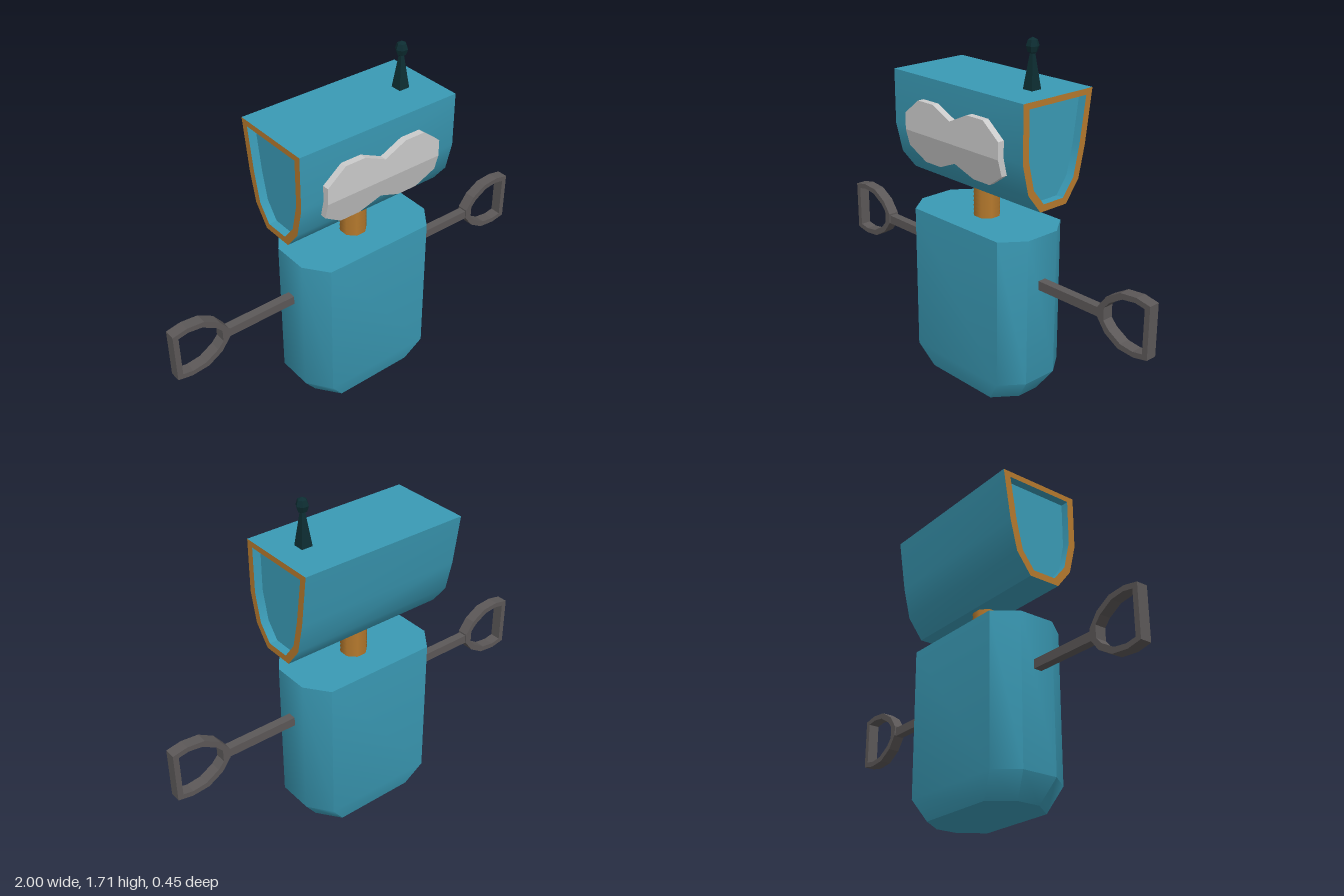
import * as THREE from 'three';
import { toCreasedNormals } from 'three/addons/utils/BufferGeometryUtils.js';

const mat = (color) => new THREE.MeshStandardMaterial({ color });
const CREASE = 0.71;

const outline = (points) => points.map(([x, y]) => new THREE.Vector2(x, y));

const extrude = (points, depth, hole, steps = 1) => {
  const shape = new THREE.Shape(outline(points));
  if (hole) shape.holes.push(new THREE.Path(outline(hole)));
  return new THREE.ExtrudeGeometry(shape, { depth, steps, bevelEnabled: false });
};

// Closes a half outline by mirroring it in x
const mirrorX = (half) => [
  ...half,
  ...half.filter(([x]) => x !== 0).reverse().map(([x, y]) => [-x, y]),
];

export function createModel() {
  const model = new THREE.Group();
  const teal = mat(0x3a9ab5);
  const brown = mat(0xb5792d);
  const darkGrey = mat(0x5c5858);
  const darkTeal = mat(0x0d2d32);
  const grey = mat(0xcccccc);

  const add = (name, geometry, material, parent = model) => {
    const mesh = new THREE.Mesh(geometry, material);
    mesh.name = name;
    parent.add(mesh);
    return mesh;
  };

  // Body: prism with faceted round sides, tapering in at the foot
  const plan = mirrorX([[0.283, -0.2], [0.365, -0.09], [0.365, 0.09], [0.283, 0.2]]);
  const body = extrude(plan, 0.83, null, 2);
  const p = body.attributes.position;
  for (let i = 0; i < p.count; i++) {
    const x = p.getX(i), y = p.getY(i), z = p.getZ(i);
    if (z < 0.01) p.setXY(i, x - Math.sign(x) * 0.077, y - Math.sign(y) * 0.032);
    else if (z < 0.6) p.setZ(i, 0.11);
  }
  body.rotateX(-Math.PI / 2);
  add('body', toCreasedNormals(body, CREASE), teal);

  // Neck: ribbed octagonal column
  const ribs = [];
  for (let i = 0; i <= 16; i++) {
    ribs.push(new THREE.Vector2(i % 2 ? 0.063 : 0.066, 0.82 + (i / 16) * 0.17));
  }
  const neck = new THREE.LatheGeometry(ribs, 8);
  neck.rotateY(Math.PI / 8);
  add('neck', neck, brown);

  // Head: shell with brown end rims and recessed side plates (outlines are -z, y)
  const head = new THREE.Group();
  head.name = 'head';
  model.add(head);
  const outer = [[-0.19, 1.48], [-0.19, 1.22], [-0.155, 1.075], [-0.08, 0.98],
    [0.08, 0.98], [0.155, 1.08], [0.19, 1.23], [0.226, 1.48]];
  const inner = [[-0.155, 1.452], [-0.155, 1.23], [-0.122, 1.09], [-0.06, 1.013],
    [0.06, 1.013], [0.122, 1.095], [0.155, 1.237], [0.188, 1.452]];
  const alongX = (geometry, depth) =>
    toCreasedNormals(geometry.translate(0, 0, -depth / 2).rotateY(Math.PI / 2), CREASE);
  add('headShell', alongX(extrude(outer, 0.85, inner), 0.85), [brown, teal], head);
  add('headSidePlates', alongX(extrude(inner, 0.77), 0.77), teal, head);

  // Goggles: flat upper half, lower half sloping back with the face
  const bend = 1.22;
  const upper = mirrorX([[0, bend], [0.31, bend], [0.31, 1.3], [0.215, 1.375], [0.112, 1.375], [0, 1.323]]);
  const lower = mirrorX([[0, 1.122], [0.112, 1.075], [0.215, 1.075], [0.31, 1.14], [0.31, bend], [0, bend]]);
  const goggles = new THREE.Group();
  goggles.name = 'goggles';
  head.add(goggles);
  [['gogglesUpper', upper, 0], ['gogglesLower', lower, 0.27]].forEach(([name, points, slope]) => {
    const g = extrude(points, 0.044);
    const q = g.attributes.position;
    for (let i = 0; i < q.count; i++) {
      q.setZ(i, q.getZ(i) + 0.179 - slope * (bend - q.getY(i)));
    }
    add(name, toCreasedNormals(g, 0.3), grey, goggles);
  });

  // Antenna: square spike with a faceted tip
  const antenna = new THREE.Group();
  antenna.name = 'antenna';
  antenna.position.set(0.275, 1.475, -0.008);
  model.add(antenna);
  darkTeal.flatShading = true;
  const spike = new THREE.CylinderGeometry(0.01, 0.04, 0.17, 4);
  spike.rotateY(Math.PI / 4).translate(0, 0.085, 0);
  add('antennaSpike', spike, darkTeal, antenna);
  const tip = new THREE.SphereGeometry(0.03, 6, 4);
  tip.scale(1, 1.25, 1).translate(0, 0.193, 0);
  add('antennaTip', tip, darkTeal, antenna);

  // Arms: square bar ending in an open D-shaped grip
  const mirrorY = (half) => [...half, ...half.slice().reverse().map(([x, y]) => [x, -y])];
  const gripOuter = mirrorY([[1, 0.124], [0.928, 0.138], [0.842, 0.13], [0.768, 0.086], [0.722, 0.024]]);
  const gripInner = mirrorY([[0.973, 0.104], [0.922, 0.113], [0.855, 0.104], [0.788, 0.064], [0.758, 0.03]]);
  for (const side of [1, -1]) {
    const arm = new THREE.Group();
    arm.name = side > 0 ? 'leftArm' : 'rightArm';
    arm.position.y = 0.6;
    if (side < 0) arm.rotation.y = Math.PI;
    model.add(arm);
    const bar = add('armBar', new THREE.BoxGeometry(0.39, 0.044, 0.042), darkGrey, arm);
    bar.position.set(0.54, -0.006, 0);
    const grip = extrude(gripOuter, 0.055, gripInner).translate(0, 0, -0.0275);
    add('armGrip', grip, darkGrey, arm);
  }

  return model;
}
